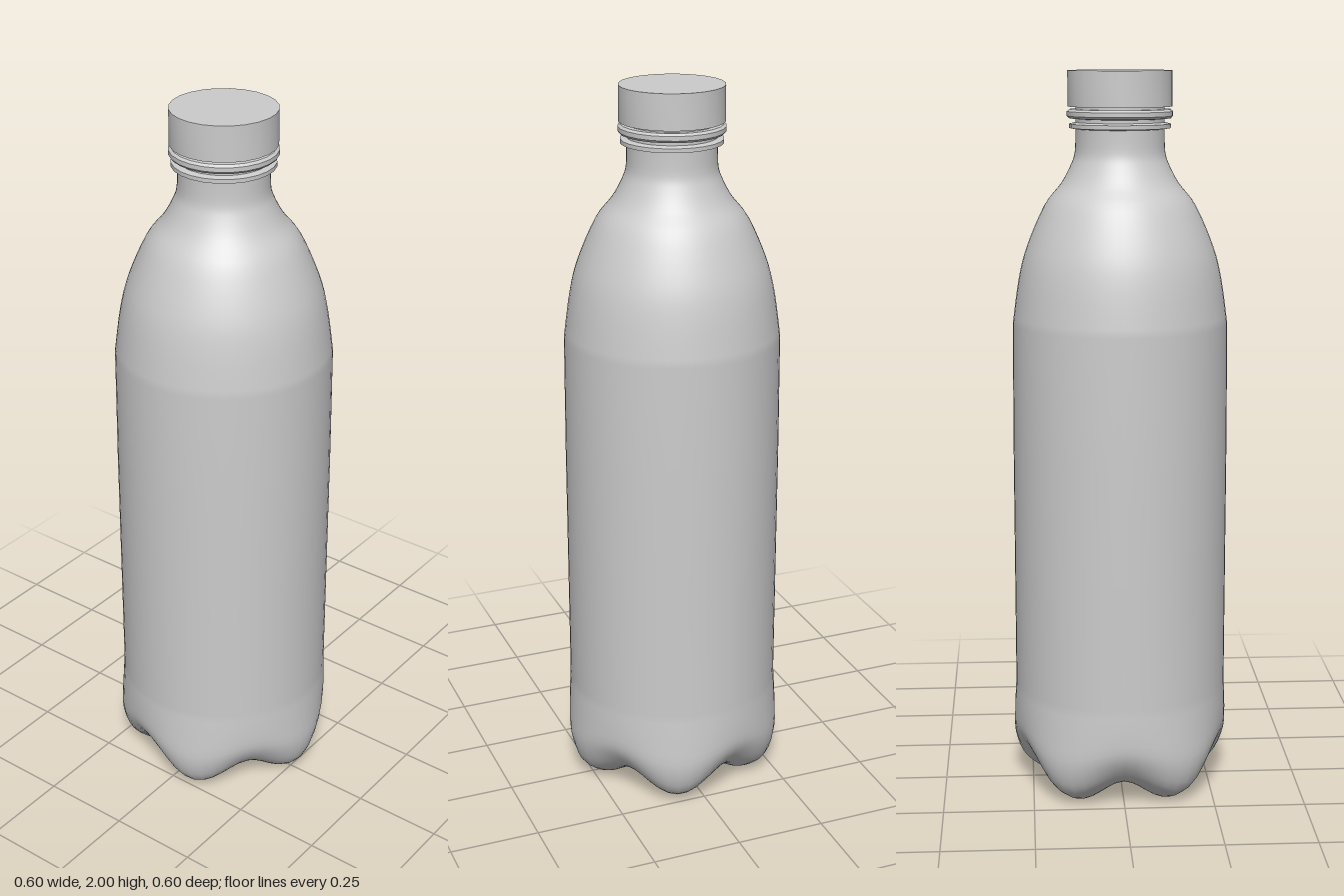
import * as THREE from 'three';
import { mergeVertices, toCreasedNormals } from 'three/addons/utils/BufferGeometryUtils.js';

const SEGMENTS = 60;
const LOBES = 5;
const BASE_STEPS = 24;

const vectors = (pairs) => pairs.map(([r, y]) => new THREE.Vector2(r, y));
const smooth = (pairs, steps) => new THREE.SplineCurve(vectors(pairs)).getPoints(steps);

// Base profiles from the centre outwards: through a foot and through a groove
const foot = smooth([[0, 0.05], [0.08, 0.04], [0.15, 0.012], [0.2, 0.001], [0.24, 0.012],
  [0.284, 0.05], [0.305, 0.12], [0.303, 0.2], [0.296, 0.3]], BASE_STEPS);
const groove = smooth([[0, 0.05], [0.07, 0.048], [0.13, 0.047], [0.18, 0.053], [0.225, 0.072],
  [0.262, 0.108], [0.292, 0.16], [0.298, 0.22], [0.296, 0.3]], BASE_STEPS);

// Straight wall, shoulder and neck
const wall = vectors([[0.296, 0.65], [0.296, 1.0]]);
const shoulder = smooth([[0.294, 1.32], [0.277, 1.44], [0.254, 1.53], [0.206, 1.64],
  [0.16, 1.7], [0.133, 1.75], [0.122, 1.785], [0.12, 1.84]], 28);

function bottleGeometry() {
  const profile = [...foot, ...wall, ...shoulder, new THREE.Vector2(0.12, 1.91)];
  const geometry = new THREE.LatheGeometry(profile, SEGMENTS);
  const position = geometry.attributes.position;
  // Blend foot and groove around the axis to shape the lobed base
  for (let s = 0; s <= SEGMENTS; s++) {
    const angle = (s % SEGMENTS) / SEGMENTS * Math.PI * 2;
    const t = (1 - Math.cos(LOBES * angle)) / 2;
    for (let i = 0; i <= BASE_STEPS; i++) {
      const p = foot[i].clone().lerp(groove[i], t);
      position.setXYZ(s * profile.length + i, p.x * Math.sin(angle), Math.max(p.y, 0), p.x * Math.cos(angle));
    }
  }
  geometry.deleteAttribute('uv');
  geometry.deleteAttribute('normal');
  const merged = mergeVertices(geometry, 1e-5);
  merged.computeVertexNormals();
  return merged;
}

export function createModel() {
  const model = new THREE.Group();
  model.name = 'bottle';
  const material = new THREE.MeshStandardMaterial({ color: 0xcccccc, side: THREE.DoubleSide });

  const add = (name, geometry) => {
    const mesh = new THREE.Mesh(geometry, material);
    mesh.name = name;
    model.add(mesh);
  };
  const sharpLathe = (pairs) =>
    toCreasedNormals(new THREE.LatheGeometry(vectors(pairs), 24), Math.PI / 6);

  add('body', bottleGeometry());

  // Collar and tamper ring below the cap
  add('neckCollar', sharpLathe([[0.118, 1.845], [0.137, 1.848], [0.137, 1.859], [0.118, 1.864]]));
  add('tamperRing', sharpLathe([[0.118, 1.872], [0.138, 1.874], [0.143, 1.88],
    [0.143, 1.892], [0.136, 1.898], [0.118, 1.898]]));

  add('cap', sharpLathe([[0, 1.905], [0.141, 1.905], [0.141, 2], [0, 2]]));

  return model;
}
